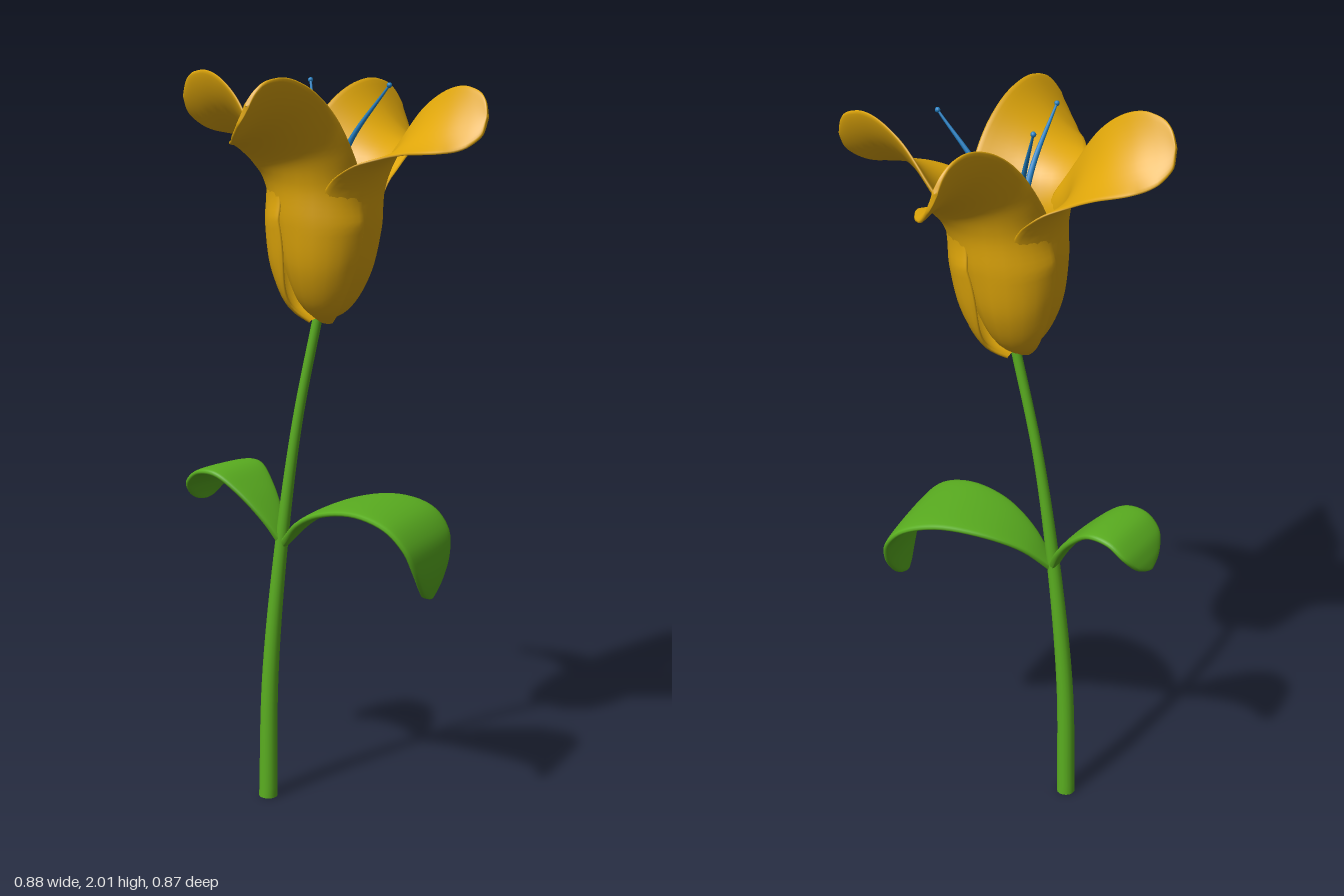
import * as THREE from 'three';

const material = (name, color) => {
  const m = new THREE.MeshStandardMaterial({ color });
  m.name = name;
  return m;
};

const { lerp, smoothstep } = THREE.MathUtils;

// Lofts a closed section along a spine in the xy plane. Each control point is
// [x, y, halfWidth]; width runs along z. Without a thickness the section is round.
function loft(points, { thickness = 0, curl = () => 0, roll = () => 0, steps = 48, sides = 28 } = {}) {
  const curve = new THREE.CatmullRomCurve3(points.map(p => new THREE.Vector3(...p)), false, 'centripetal');
  const pos = [], index = [];
  for (let i = 0; i <= steps; i++) {
    const t = i / steps;
    const p = curve.getPoint(t);
    const tan = curve.getPoint(Math.min(1, t + 0.005)).sub(curve.getPoint(Math.max(0, t - 0.005)));
    const len = Math.hypot(tan.x, tan.y);
    const nx = -tan.y / len, ny = tan.x / len;
    const w = Math.max(p.z, 0.001);
    const h = thickness ? Math.min(thickness, w) : w;
    const R = 1 / Math.max(curl(t), 0.001);
    const cr = Math.cos(roll(t)), sr = Math.sin(roll(t));
    for (let j = 0; j < sides; j++) {
      const a = j / sides * Math.PI * 2;
      const s = Math.sin(a);
      const off = h * Math.sign(s) * Math.abs(s) ** (thickness ? 0.5 : 1);
      const phi = Math.cos(a) * w / R;
      const b = (R - off) * Math.sin(phi), n = R - (R - off) * Math.cos(phi);
      const side = b * cr + n * sr, up = n * cr - b * sr;
      pos.push(p.x + nx * up, p.y + ny * up, side);
      if (i < steps) {
        const A = i * sides + j, B = i * sides + (j + 1) % sides;
        index.push(A, A + sides, B, B, A + sides, B + sides);
      }
    }
  }
  const g = new THREE.BufferGeometry();
  g.setAttribute('position', new THREE.Float32BufferAttribute(pos, 3));
  g.setIndex(index);
  g.computeVertexNormals();
  return g;
}

export function createModel() {
  const model = new THREE.Group();
  model.name = 'flower';
  const green = material('leaf green', 0x5aae20);
  const gold = material('petal gold', 0xdfa60a);
  const blue = material('stamen blue', 0x2180c4);
  const add = (parent, name, geometry, mat) => {
    const mesh = new THREE.Mesh(geometry, mat);
    mesh.name = name;
    parent.add(mesh);
    return mesh;
  };

  // Tapered, leaning stem with a flat foot
  add(model, 'stem', loft([
    [-0.197, 0, 0.026], [-0.188, 0.35, 0.023], [-0.15, 0.74, 0.018],
    [-0.1, 1.08, 0.014], [-0.035, 1.38, 0.013],
  ], { sides: 16 }), green);
  const foot = add(model, 'stemFoot', new THREE.CircleGeometry(0.026, 16), green);
  foot.rotation.x = Math.PI / 2;
  foot.position.set(-0.197, 0.0005, 0);

  // Two arching leaves from one node
  const longLeaf = add(model, 'longLeaf', loft([
    [0, 0, 0.012], [0.07, 0.072, 0.06], [0.17, 0.122, 0.11], [0.285, 0.138, 0.14],
    [0.378, 0.112, 0.152], [0.426, 0.06, 0.143], [0.441, 0, 0.115],
    [0.441, -0.05, 0.077], [0.436, -0.085, 0.037], [0.434, -0.098, 0],
  ], { thickness: 0.011 }), green);
  longLeaf.position.set(-0.145, 0.738, 0);
  const shortLeaf = add(model, 'shortLeaf', loft([
    [0, 0, 0.012], [-0.035, 0.065, 0.04], [-0.1, 0.142, 0.075], [-0.165, 0.189, 0.1],
    [-0.225, 0.186, 0.105], [-0.265, 0.154, 0.098], [-0.284, 0.12, 0.07],
    [-0.291, 0.097, 0.037], [-0.292, 0.088, 0],
  ], { thickness: 0.011 }), green);
  shortLeaf.position.set(-0.145, 0.738, 0);
  shortLeaf.rotation.y = -0.21;

  // Four petals that wrap around each other low down, then flare and twist outward
  const bloom = new THREE.Group();
  bloom.name = 'bloom';
  bloom.position.set(-0.035, 1.365, 0);
  bloom.rotation.z = -0.06;
  model.add(bloom);
  const petal = loft([
    [0, 0, 0.045], [0.06, 0.035, 0.095], [0.115, 0.13, 0.158], [0.14, 0.25, 0.178],
    [0.15, 0.355, 0.163], [0.178, 0.425, 0.145], [0.25, 0.487, 0.132], [0.33, 0.525, 0.115],
    [0.39, 0.542, 0.088], [0.425, 0.549, 0.052], [0.437, 0.551, 0],
  ], {
    thickness: 0.007,
    steps: 64,
    curl: t => lerp(lerp(14, 7, Math.min(1, t / 0.3)), 2, smoothstep(t, 0.34, 0.54)),
    roll: t => 1.2 * (t - 0.37) + 0.5 * smoothstep(t, 0.45, 0.8),
  });
  for (let i = 0; i < 4; i++) add(bloom, 'petal', petal, gold).rotation.y = i * Math.PI / 2;

  // Three slender stamens with bead tips: [dx, dy, dz] from the flower base
  for (const [dx, dy, dz] of [[-0.1, 0.6, -0.14], [0.205, 0.585, 0.02], [-0.04, 0.575, 0.21]]) {
    const reach = Math.hypot(dx, dz);
    const stamen = new THREE.Group();
    stamen.name = 'stamen';
    stamen.position.set(-0.03, 1.38, 0);
    stamen.rotation.y = Math.atan2(-dz, dx);
    add(stamen, 'filament', loft([
      [0, 0, 0.01], [0.02, 0.25, 0.01], [reach * 0.4, 0.43, 0.008], [reach, dy, 0.003],
    ], { steps: 24, sides: 8 }), blue);
    add(stamen, 'anther', new THREE.SphereGeometry(0.007, 10, 8), blue).position.set(reach, dy, 0);
    model.add(stamen);
  }

  return model;
}
